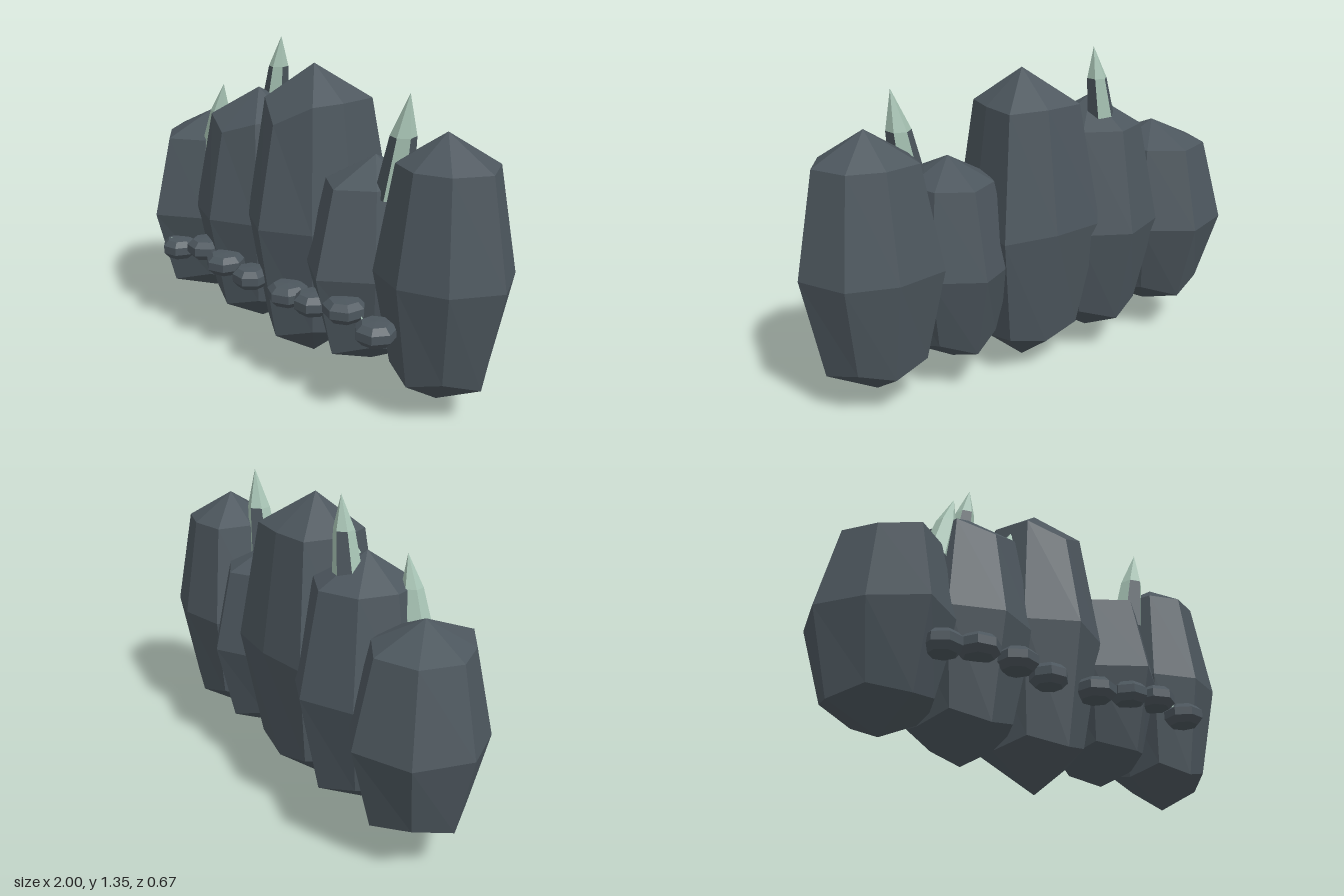
import * as THREE from 'three';

const stone = new THREE.MeshStandardMaterial({ color: 0x4c565d, flatShading: true });
stone.name = 'slate stone';
const crystal = new THREE.MeshStandardMaterial({ color: 0xa6c2b3, flatShading: true });
crystal.name = 'pale crystal';

// Skins a stack of rings (bottom to top); pick(level, side) gives the material slot.
function loft(rings, pick = () => 0) {
  const faces = [[], []];
  const n = rings[0].length;
  for (let k = 0; k < rings.length - 1; k++) {
    for (let i = 0; i < n; i++) {
      const j = (i + 1) % n;
      const a = rings[k][i], b = rings[k][j], c = rings[k + 1][j], d = rings[k + 1][i];
      const out = faces[pick(k, i)];
      if (a.distanceTo(b) > 1e-6) out.push(a, c, b);
      if (c.distanceTo(d) > 1e-6) out.push(a, d, c);
    }
  }
  const geo = new THREE.BufferGeometry().setFromPoints([...faces[0], ...faces[1]]);
  geo.addGroup(0, faces[0].length, 0);
  geo.addGroup(faces[0].length, faces[1].length, 1);
  geo.computeVertexNormals();
  return geo;
}

// Ring of n points; radius and height may vary with the side index.
function ring(n, x, z, radius, height, turn = 0) {
  return Array.from({ length: n }, (_, i) => {
    const a = (i / n) * Math.PI * 2 + turn;
    const r = radius(i);
    return new THREE.Vector3(x + Math.cos(a) * r, height(i), z + Math.sin(a) * r);
  });
}

// Eight-sided boulder with pointed ends; radii start at +x and turn towards +z.
function boulder({ x, bottom, top, radii, dip }) {
  const mid = (bottom + top) / 2, half = (top - bottom) / 2;
  const at = (scale, height) => ring(8, x, -0.02, i => radii[i] * scale, height);
  return loft([
    at(0, () => bottom),
    at(0.72, i => mid - half * 0.78 + (i % 2 ? 0.04 : 0)),
    at(1, () => mid),
    at(0.72, i => mid + half * 0.78 - (i === 2 ? dip : 0)),
    at(0, () => top),
  ]);
}

// Leaning six-sided spike: striped shaft with an all-pale tip.
function spike([bx, by, bz], [tx, ty, tz], r, shaft) {
  const at = (t, scale) => ring(6, bx + (tx - bx) * t, bz + (tz - bz) * t,
    () => r * scale, () => by + (ty - by) * t, 0.3);
  return loft([at(0, 1), at(0.6, 0.68), at(1, 0)],
    (level, side) => (level === 1 || shaft(side) ? 1 : 0));
}

export function createModel() {
  const group = new THREE.Group();
  const add = (name, geo, mat) => {
    const mesh = new THREE.Mesh(geo, mat);
    mesh.name = name;
    group.add(mesh);
    return mesh;
  };

  // Wall of five boulders
  [
    { x: -0.7, bottom: 0.10, top: 0.98, dip: 0, radii: [0.27, 0.28, 0.33, 0.26, 0.30, 0.325, 0.32, 0.27] },
    { x: -0.35, bottom: 0.055, top: 1.14, dip: 0.05, radii: [0.27, 0.28, 0.29, 0.29, 0.27, 0.30, 0.31, 0.29] },
    { x: 0, bottom: 0.005, top: 1.29, dip: 0.08, radii: [0.235, 0.28, 0.31, 0.28, 0.285, 0.33, 0.26, 0.33] },
    { x: 0.35, bottom: 0.10, top: 0.98, dip: 0, radii: [0.24, 0.25, 0.32, 0.27, 0.24, 0.26, 0.29, 0.26] },
    { x: 0.7, bottom: 0.055, top: 1.135, dip: 0, radii: [0.295, 0.26, 0.255, 0.26, 0.25, 0.30, 0.255, 0.275] },
  ].forEach((b, i) => add(`boulder${i + 1}`, boulder(b), stone));

  // Row of small ledge stones: x, y, z, radius
  [
    [-0.61, 0.395, 0.25, 0.078], [-0.44, 0.435, 0.225, 0.085], [-0.28, 0.415, 0.245, 0.085],
    [-0.12, 0.395, 0.235, 0.078], [0.115, 0.395, 0.235, 0.085], [0.28, 0.413, 0.25, 0.078],
    [0.44, 0.435, 0.235, 0.085], [0.605, 0.395, 0.235, 0.082],
  ].forEach(([x, y, z, r], i) => {
    const at = (scale, dy) => ring(7, x, z, () => r * scale, () => y + dy, i * 0.4);
    add('ledgeStone', loft([at(0, -0.047), at(0.7, -0.043), at(1, -0.017), at(1, 0.017), at(0.7, 0.04), at(0, 0.043)]), stone);
  });

  // Crystal spikes rising behind and between the boulders
  const striped = side => side % 2 === 0;
  const both = [stone, crystal];
  add('tallSpike', spike([-0.345, 1.03, -0.105], [-0.295, 1.355, -0.105], 0.062, striped), both);
  add('leftSpike', spike([0.49, 0.85, 0.03], [0.56, 1.26, 0.03], 0.075, striped), both);
  add('rightSpike', spike([-0.56, 0.84, 0.07], [-0.48, 1.145, 0.07], 0.062, () => true), both);
  add('smallSpike', spike([-0.215, 0.98, 0.05], [-0.175, 1.11, 0.05], 0.035, () => true), both);

  // Crystal chips poking out of the ledge
  for (const [x, y, z] of [[-0.63, 0.42, 0.275], [-0.31, 0.437, 0.26], [0.225, 0.415, 0.255], [0.545, 0.415, 0.24]]) {
    const chip = add('ledgeChip', new THREE.ConeGeometry(0.024, 0.045, 5), crystal);
    chip.position.set(x, y, z);
    chip.rotation.z = 0.5;
  }
  return group;
}
